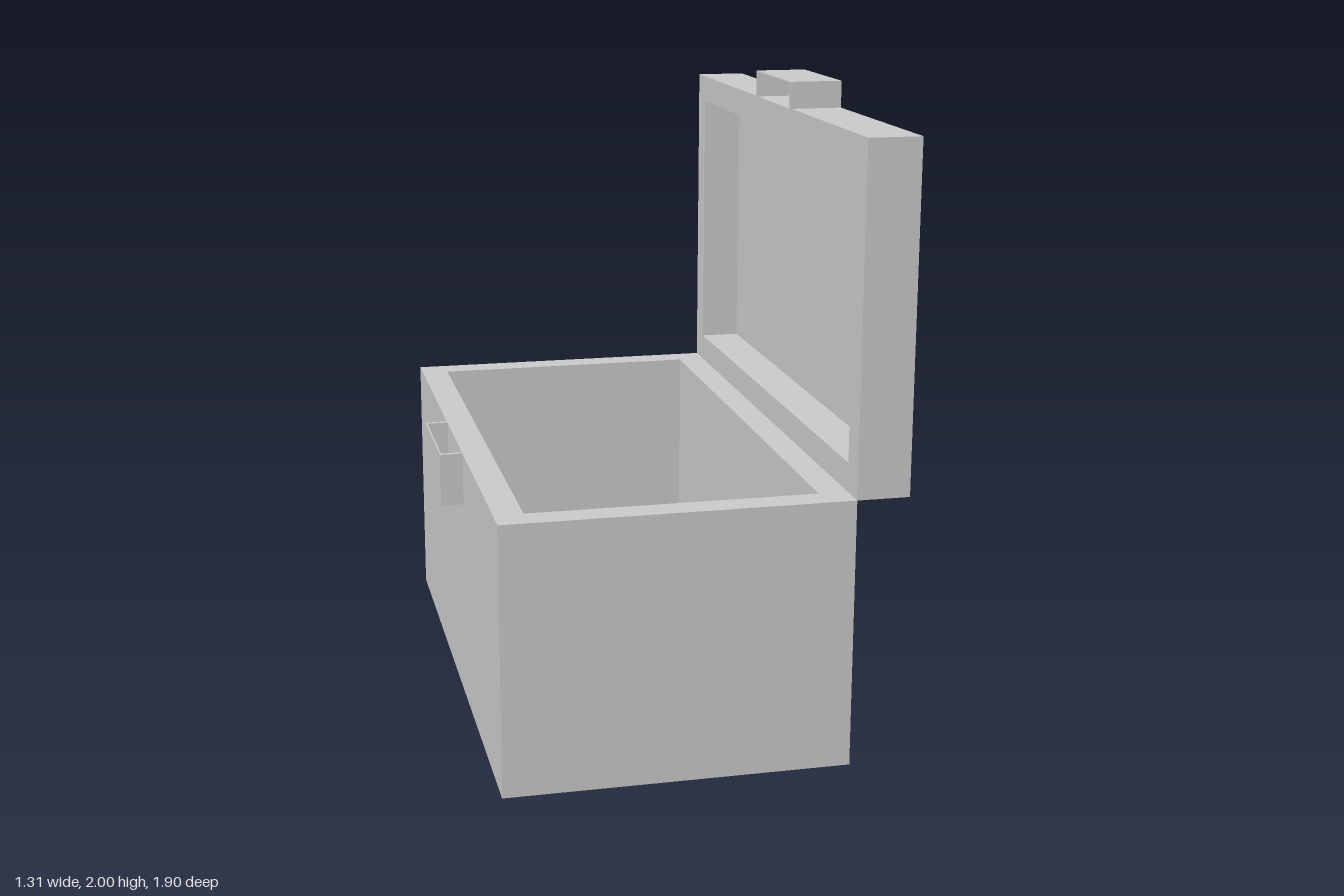
import * as THREE from 'three';

const material = new THREE.MeshStandardMaterial({ color: 0xcccccc, flatShading: true });

// Rectangular loop at height y, counter-clockwise seen from above
const ring = ([x0, x1, z0, z1], y) =>
  [[x0, z1], [x1, z1], [x1, z0], [x0, z0]].map(([x, z]) => [x, y, z]);

// Hollow block open at the top: outer and inner rectangles are [x0, x1, z0, z1]
function tray(name, outer, inner, bottom, floor, top) {
  const rings = [ring(outer, bottom), ring(outer, top), ring(inner, top), ring(inner, floor)];
  const points = [];
  const quad = (a, b, c, d) => points.push(...a, ...b, ...c, ...a, ...c, ...d);
  for (let r = 0; r < 3; r++) {
    for (let i = 0; i < 4; i++) {
      const j = (i + 1) % 4;
      quad(rings[r][i], rings[r][j], rings[r + 1][j], rings[r + 1][i]);
    }
  }
  quad(...rings[3]); // inside floor
  quad(...rings[0].slice().reverse()); // underside
  const geometry = new THREE.BufferGeometry();
  geometry.setAttribute('position', new THREE.Float32BufferAttribute(points, 3));
  geometry.computeVertexNormals();
  const mesh = new THREE.Mesh(geometry, material);
  mesh.name = name;
  return mesh;
}

export function createModel() {
  const model = new THREE.Group();
  model.name = 'openChest';

  // Chest body with its latch cup on the -x face
  const body = new THREE.Group();
  body.name = 'body';
  body.add(
    tray('chestBox', [-0.583, 0.488, -0.952, 0.952], [-0.493, 0.398, -0.862, 0.862], 0, 0.15, 0.845),
    tray('latchCup', [-0.655, -0.578, -0.175, 0.217], [-0.65, -0.583, -0.16, 0.202], 0.675, 0.69, 0.845)
  );

  // Lid modelled lying flat, then swung upright so its hollow faces -x
  const lid = new THREE.Group();
  lid.name = 'lid';
  lid.add(
    tray('lidPanel', [0.845, 1.915, -0.952, 0.952], [0.935, 1.825, -0.862, 0.862], -0.652, -0.62, -0.488),
    tray('lidCatch', [1.91, 2, -0.175, 0.217], [1.915, 1.995, -0.16, 0.202], -0.652, -0.637, -0.484)
  );
  lid.rotation.z = Math.PI / 2;

  model.add(body, lid);
  return model;
}
